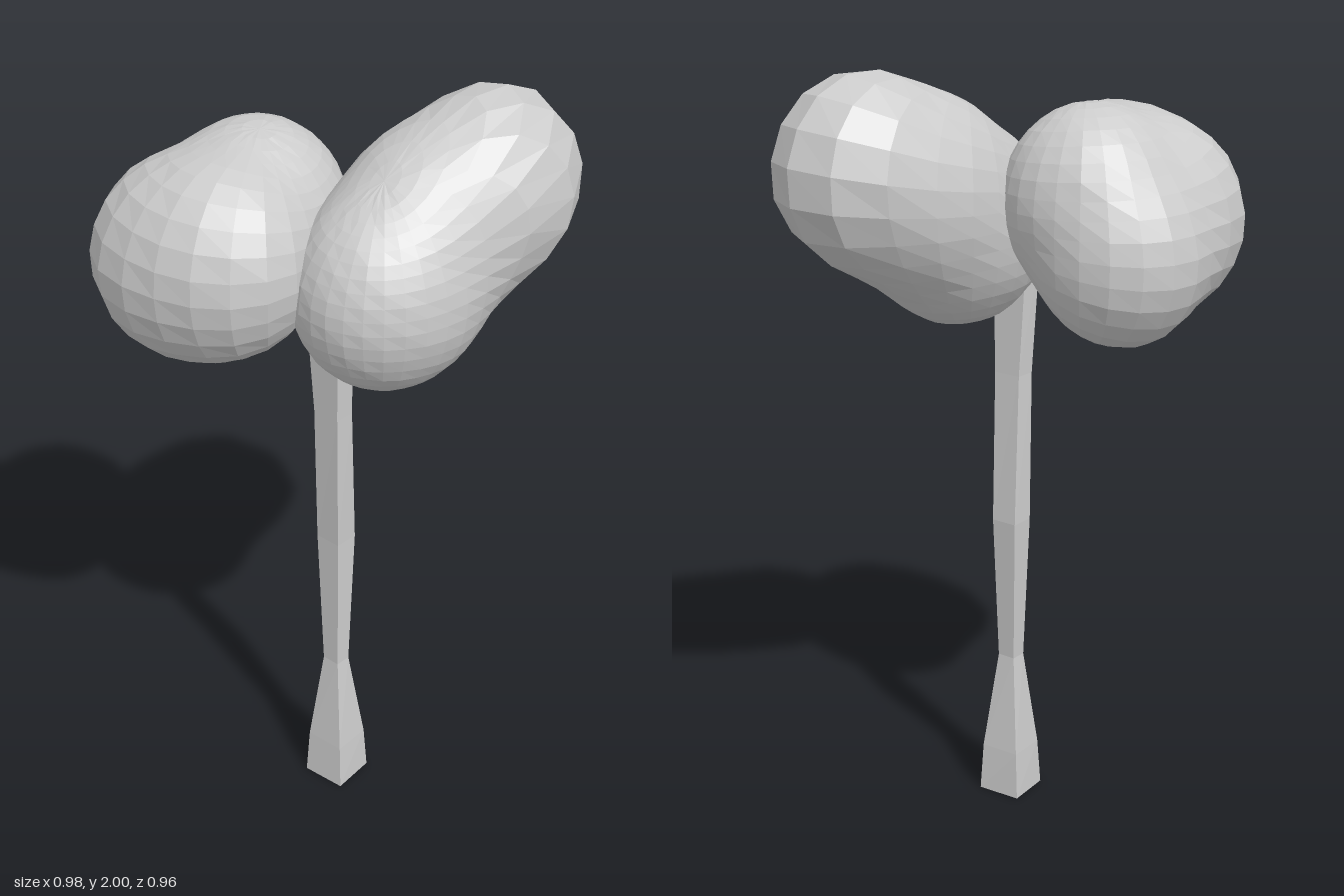
import * as THREE from 'three';

const material = new THREE.MeshStandardMaterial({ color: 0xcccccc, flatShading: true });

// Rounded foliage: a sphere swollen outward to the soft union of several lobes,
// then sized to the box min..max. Each lobe is [x, y, z, radius].
function foliage(name, centre, lobes, min, max) {
  const geo = new THREE.SphereGeometry(1, 26, 20);
  const pos = geo.attributes.position;
  const c = new THREE.Vector3(...centre), d = new THREE.Vector3(), p = new THREE.Vector3();
  const field = (r) => {
    p.copy(d).multiplyScalar(r).add(c);
    return lobes.reduce((sum, [x, y, z, s]) => {
      const q = ((p.x - x) ** 2 + (p.y - y) ** 2 + (p.z - z) ** 2) / (s * s);
      return sum + Math.exp(-5 * (q - 1));
    }, 0);
  };
  for (let i = 0; i < pos.count; i++) {
    d.fromBufferAttribute(pos, i).normalize();
    let r = 0.9;
    while (r > 0.05 && field(r) < 1) r -= 0.002;
    pos.setXYZ(i, c.x + d.x * r, c.y + d.y * r, c.z + d.z * r);
  }
  geo.computeBoundingBox();
  const { min: a, max: b } = geo.boundingBox;
  const fit = (v, k, axis) => min[k] + (v - a[axis]) / (b[axis] - a[axis]) * (max[k] - min[k]);
  for (let i = 0; i < pos.count; i++) {
    pos.setXYZ(i, fit(pos.getX(i), 0, 'x'), fit(pos.getY(i), 1, 'y'), fit(pos.getZ(i), 2, 'z'));
  }
  geo.computeVertexNormals();
  const mesh = new THREE.Mesh(geo, material);
  mesh.name = name;
  return mesh;
}

// Four-sided trunk lofted through rings of [y, centre x, centre z, half width x, half width z, twist]
function trunk(rings) {
  const points = [], index = [];
  for (const [y, cx, cz, hx, hz, twist] of rings) {
    for (let i = 0; i < 4; i++) {
      const a = Math.PI / 4 + i * Math.PI / 2 + twist;
      points.push(cx + Math.SQRT2 * hx * Math.cos(a), y, cz + Math.SQRT2 * hz * Math.sin(a));
    }
  }
  for (let r = 0; r < rings.length - 1; r++) {
    for (let i = 0; i < 4; i++) {
      const a = r * 4 + i, b = r * 4 + (i + 1) % 4;
      index.push(a, a + 4, b, b, a + 4, b + 4);
    }
  }
  const t = (rings.length - 1) * 4;
  index.push(0, 1, 2, 0, 2, 3, t, t + 2, t + 1, t, t + 3, t + 2);
  const geo = new THREE.BufferGeometry();
  geo.setAttribute('position', new THREE.Float32BufferAttribute(points, 3));
  geo.setIndex(index);
  geo.computeVertexNormals();
  const mesh = new THREE.Mesh(geo, material);
  mesh.name = 'trunk';
  return mesh;
}

export function createModel() {
  const tree = new THREE.Group();
  tree.name = 'tree';

  tree.add(trunk([
    [0, -0.06, 0.056, 0.06, 0.06, 0],
    [0.13, -0.06, 0.056, 0.052, 0.054, 0.03],
    [0.4, -0.063, 0.056, 0.021, 0.025, 0.08],
    [0.8, -0.053, 0.048, 0.032, 0.036, 0.08],
    [1.2, -0.077, 0.057, 0.026, 0.038, 0.08],
    [1.5, -0.09, 0.056, 0.026, 0.05, 0.08],
  ]));

  // Broad rear crown
  tree.add(foliage('rearFoliage', [-0.1, 1.64, -0.14], [
    [-0.08, 1.68, -0.17, 0.22],
    [-0.25, 1.65, -0.13, 0.225],
    [-0.25, 1.62, -0.24, 0.23],
    [-0.07, 1.57, -0.26, 0.21],
  ], [-0.49, 1.33, -0.48], [0.145, 1.92, 0.1]));

  // Front crown with a raised side lobe
  tree.add(foliage('frontFoliage', [-0.07, 1.61, 0.19], [
    [-0.03, 1.58, 0.18, 0.25],
    [0.11, 1.68, 0.2, 0.245],
    [0.24, 1.75, 0.27, 0.235],
  ], [-0.285, 1.33, -0.04], [0.49, 2, 0.48]));

  return tree;
}
